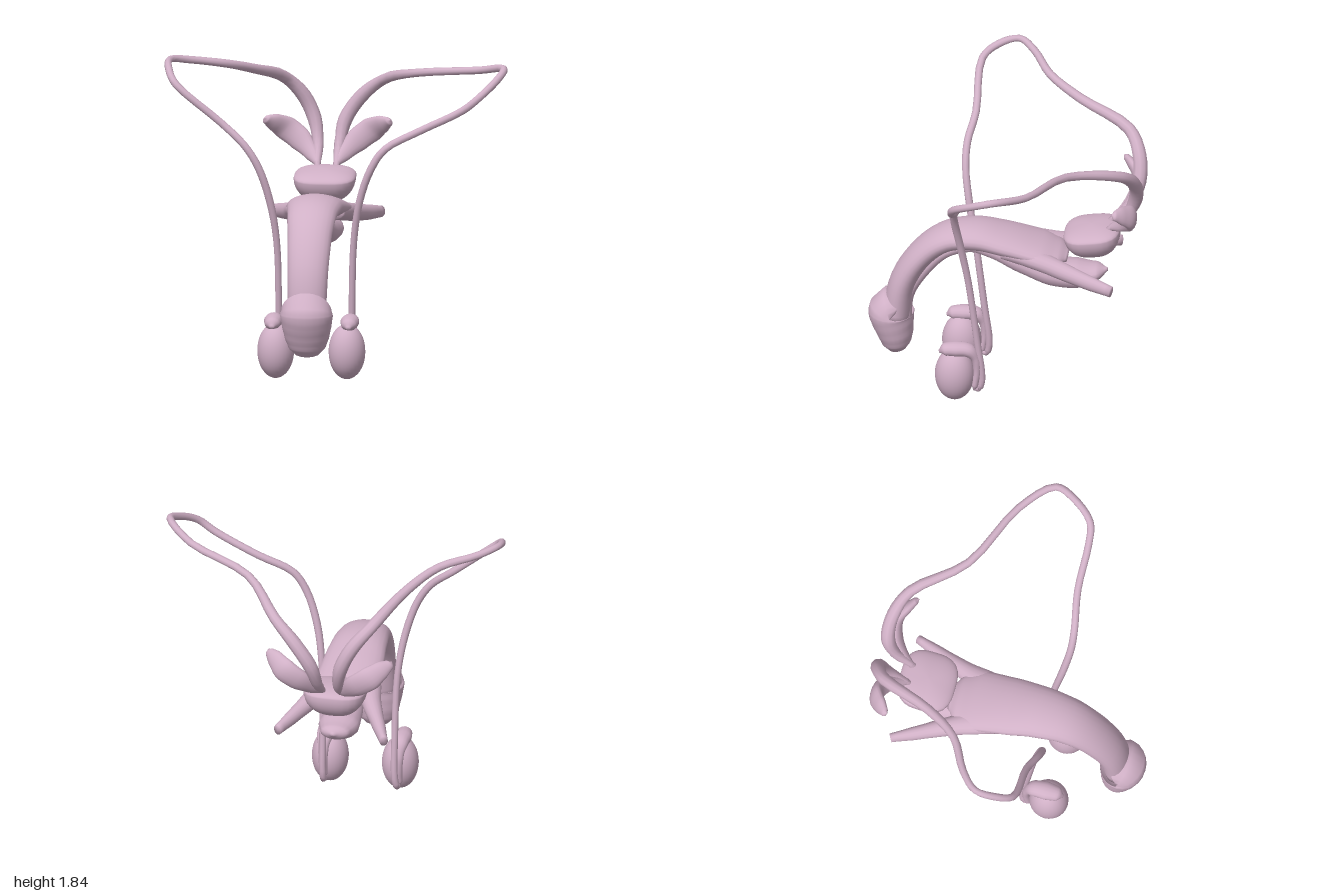
import * as THREE from 'three';

const tissue = new THREE.MeshStandardMaterial({ color: 0xd0b0c6 });
tissue.name = 'pale pink tissue';

const MID = -0.12; // x of the anatomical midline

// Sweep an elliptical section along rows of [x, y, z, halfWidth, halfHeight];
// the width axis follows the side vector.
function sweep(name, rows, side = [1, 0, 0], steps = 5, seg = 16) {
  const path = new THREE.CatmullRomCurve3(rows.map(r => new THREE.Vector3(r[0], r[1], r[2])));
  const n = (rows.length - 1) * steps;
  const ref = new THREE.Vector3(...side);
  const pos = [], idx = [];
  for (let i = 0; i <= n; i++) {
    const u = i / n, k = Math.min(Math.floor(i / steps), rows.length - 2), f = i / steps - k;
    const ease = f * f * (3 - 2 * f) * 0.5 + f * 0.5;
    const rw = THREE.MathUtils.lerp(rows[k][3], rows[k + 1][3], ease);
    const rh = THREE.MathUtils.lerp(rows[k][4] ?? rows[k][3], rows[k + 1][4] ?? rows[k + 1][3], ease);
    const c = path.getPoint(u), t = path.getTangent(u);
    const s = ref.clone().addScaledVector(t, -ref.dot(t)).normalize();
    const up = t.clone().cross(s);
    for (let j = 0; j < seg; j++) {
      const a = j / seg * Math.PI * 2;
      const p = c.clone().addScaledVector(s, Math.cos(a) * rw).addScaledVector(up, Math.sin(a) * rh);
      pos.push(p.x, p.y, p.z);
      const q = i * seg + j, r = i * seg + (j + 1) % seg;
      if (i < n) idx.push(q, r, q + seg, r, r + seg, q + seg);
    }
  }
  // End caps
  const first = rows[0], last = rows[rows.length - 1], c0 = pos.length / 3;
  pos.push(first[0], first[1], first[2], last[0], last[1], last[2]);
  for (let j = 0; j < seg; j++) {
    const k = (j + 1) % seg;
    idx.push(c0, k, j, c0 + 1, n * seg + j, n * seg + k);
  }
  const g = new THREE.BufferGeometry();
  g.setAttribute('position', new THREE.Float32BufferAttribute(pos, 3));
  g.setIndex(idx);
  g.computeVertexNormals();
  return mesh(name, g);
}

function mesh(name, geometry) {
  const m = new THREE.Mesh(geometry, tissue);
  m.name = name;
  return m;
}

// Rows on the midline, given as [y, z, halfWidth, halfHeight]
const onMidline = rows => rows.map(([y, z, w, h]) => [MID, y, z, w, h]);

// Rows offset from the midline toward one side
const toSide = (s, rows) => rows.map(([x, ...rest]) => [MID + s * x, ...rest]);

export function createModel() {
  const model = new THREE.Group();
  model.name = 'anatomyModel';

  // Upper erectile body
  model.add(sweep('upperShaft', onMidline([
    [0.42, 0.645, 0.11, 0.08], [0.67, 0.60, 0.118, 0.077], [0.865, 0.48, 0.128, 0.075],
    [0.97, 0.34, 0.142, 0.075], [0.995, 0.17, 0.16, 0.077], [0.968, 0, 0.178, 0.072],
    [0.925, -0.2, 0.19, 0.058], [0.9, -0.3, 0.15, 0.045], [0.885, -0.36, 0.08, 0.025],
  ]), [1, 0, 0], 5, 24));

  // Lower spongy body ending in a bulb
  model.add(sweep('lowerShaft', onMidline([
    [0.40, 0.60, 0.05, 0.045], [0.58, 0.575, 0.05, 0.04], [0.75, 0.475, 0.05, 0.04],
    [0.87, 0.355, 0.05, 0.04], [0.92, 0.2, 0.055, 0.045], [0.89, 0.07, 0.065, 0.05],
    [0.825, -0.1, 0.085, 0.07], [0.775, -0.27, 0.11, 0.085], [0.765, -0.41, 0.12, 0.08],
    [0.785, -0.53, 0.085, 0.045], [0.8, -0.59, 0.01, 0.01],
  ])));

  // Flared tip
  model.add(sweep('shaftTip', onMidline([
    [0.465, 0.655, 0.10, 0.08], [0.475, 0.668, 0.148, 0.128], [0.455, 0.671, 0.154, 0.134],
    [0.40, 0.662, 0.146, 0.124], [0.33, 0.649, 0.132, 0.108], [0.265, 0.64, 0.11, 0.088],
    [0.22, 0.634, 0.07, 0.055], [0.202, 0.631, 0.004, 0.004],
  ]), [1, 0, 0], 4, 24));

  // Gland below the bladder: squarish, flat on top and deep underneath
  const gland = new THREE.SphereGeometry(1, 32, 20);
  const p = gland.attributes.position;
  for (let i = 0; i < p.count; i++) {
    const x = p.getX(i), y = p.getY(i), z = p.getZ(i), r = Math.hypot(x, z) || 1;
    const square = 1 + 0.12 * Math.pow(2 * x * z / (r * r), 2);
    p.setXYZ(i, x * square * 0.18, y * (y > 0 ? 0.05 : 0.15), z * square * 0.165);
  }
  gland.computeVertexNormals();
  const glandMesh = mesh('gland', gland);
  glandMesh.position.set(MID, 1.05, -0.5);
  glandMesh.rotation.x = 0.13;
  model.add(glandMesh);

  for (const s of [1, -1]) {
    const label = s > 0 ? 'left' : 'right';

    // Diverging root of the shaft
    model.add(sweep(label + 'Crus', toSide(s, [
      [0.08, 0.94, 0.0, 0.08, 0.05], [0.125, 0.91, -0.18, 0.075, 0.055], [0.18, 0.875, -0.33, 0.055, 0.052],
      [0.25, 0.845, -0.49, 0.04, 0.045], [0.315, 0.822, -0.64, 0.025, 0.034],
    ])));

    // Leaf-shaped vesicle
    model.add(sweep(label + 'Vesicle', toSide(s, [
      [0.05, 1.10, -0.61, 0.018, 0.018], [0.10, 1.155, -0.68, 0.045, 0.028], [0.17, 1.225, -0.735, 0.07, 0.036],
      [0.25, 1.285, -0.745, 0.073, 0.036], [0.31, 1.325, -0.705, 0.056, 0.03], [0.355, 1.35, -0.665, 0.03, 0.02],
      [0.365, 1.36, -0.65, 0.004, 0.004],
    ]), [-s, 1, 0]));

    // Egg-shaped gonad
    const x = s > 0 ? 0.08 : -0.335;
    const egg = mesh(label + 'Testis', new THREE.SphereGeometry(1, 28, 20));
    egg.scale.set(0.107, 0.162, 0.115);
    egg.position.set(x, 0.17, 0.282);
    model.add(egg);

    // Cap over the egg, running down its back
    model.add(sweep(label + 'Epididymis', [
      [0, 0.32, 0.37, 0.012, 0.01], [0, 0.335, 0.335, 0.045, 0.038], [0, 0.342, 0.27, 0.055, 0.043],
      [0, 0.335, 0.2, 0.048, 0.04], [0, 0.285, 0.16, 0.032, 0.026], [0, 0.2, 0.15, 0.026, 0.022],
      [0, 0.11, 0.162, 0.024, 0.02], [0, 0.075, 0.165, 0.008, 0.008],
    ].map(([dx, ...rest]) => [x + s * 0.015 + dx, ...rest])));
  }

  // Long looping ducts, swollen near the gland
  model.add(sweep('leftDuct', [
    [-0.065, 1.09, -0.60, 0.018], [-0.055, 1.2, -0.71, 0.032], [-0.025, 1.34, -0.765, 0.042],
    [0.07, 1.48, -0.76, 0.04], [0.2, 1.59, -0.69, 0.032], [0.42, 1.69, -0.4, 0.024],
    [0.8, 1.75, -0.2, 0.022], [0.965, 1.795, -0.02, 0.022], [0.94, 1.755, 0.09, 0.022],
    [0.85, 1.675, 0.215, 0.022], [0.75, 1.595, 0.235, 0.022], [0.5, 1.47, 0.235, 0.022],
    [0.3, 1.365, 0.268, 0.022], [0.22, 1.25, 0.27, 0.022], [0.15, 1.05, 0.242, 0.022],
    [0.112, 0.8, 0.2, 0.02], [0.097, 0.4, 0.15, 0.02], [0.092, 0.15, 0.122, 0.02],
    [0.09, 0.085, 0.14, 0.02], [0.09, 0.09, 0.17, 0.015],
  ], [0.35, -0.8, 0.5], 4, 10));
  model.add(sweep('rightDuct', [
    [-0.175, 1.09, -0.60, 0.018], [-0.18, 1.2, -0.71, 0.032], [-0.205, 1.34, -0.765, 0.042],
    [-0.27, 1.48, -0.76, 0.042], [-0.37, 1.595, -0.69, 0.036], [-0.52, 1.7, -0.39, 0.028],
    [-0.67, 1.765, -0.2, 0.024], [-0.87, 1.805, -0.09, 0.022], [-0.975, 1.825, 0.01, 0.02],
    [-0.97, 1.785, 0.13, 0.022], [-0.92, 1.715, 0.22, 0.022], [-0.66, 1.5, 0.232, 0.022],
    [-0.52, 1.375, 0.268, 0.022], [-0.44, 1.25, 0.27, 0.022], [-0.375, 1.05, 0.242, 0.022],
    [-0.337, 0.8, 0.2, 0.02], [-0.33, 0.4, 0.15, 0.02], [-0.335, 0.15, 0.122, 0.02],
    [-0.345, 0.085, 0.14, 0.02], [-0.345, 0.09, 0.17, 0.015],
  ], [-0.35, -0.8, 0.5], 4, 10));

  return model;
}
